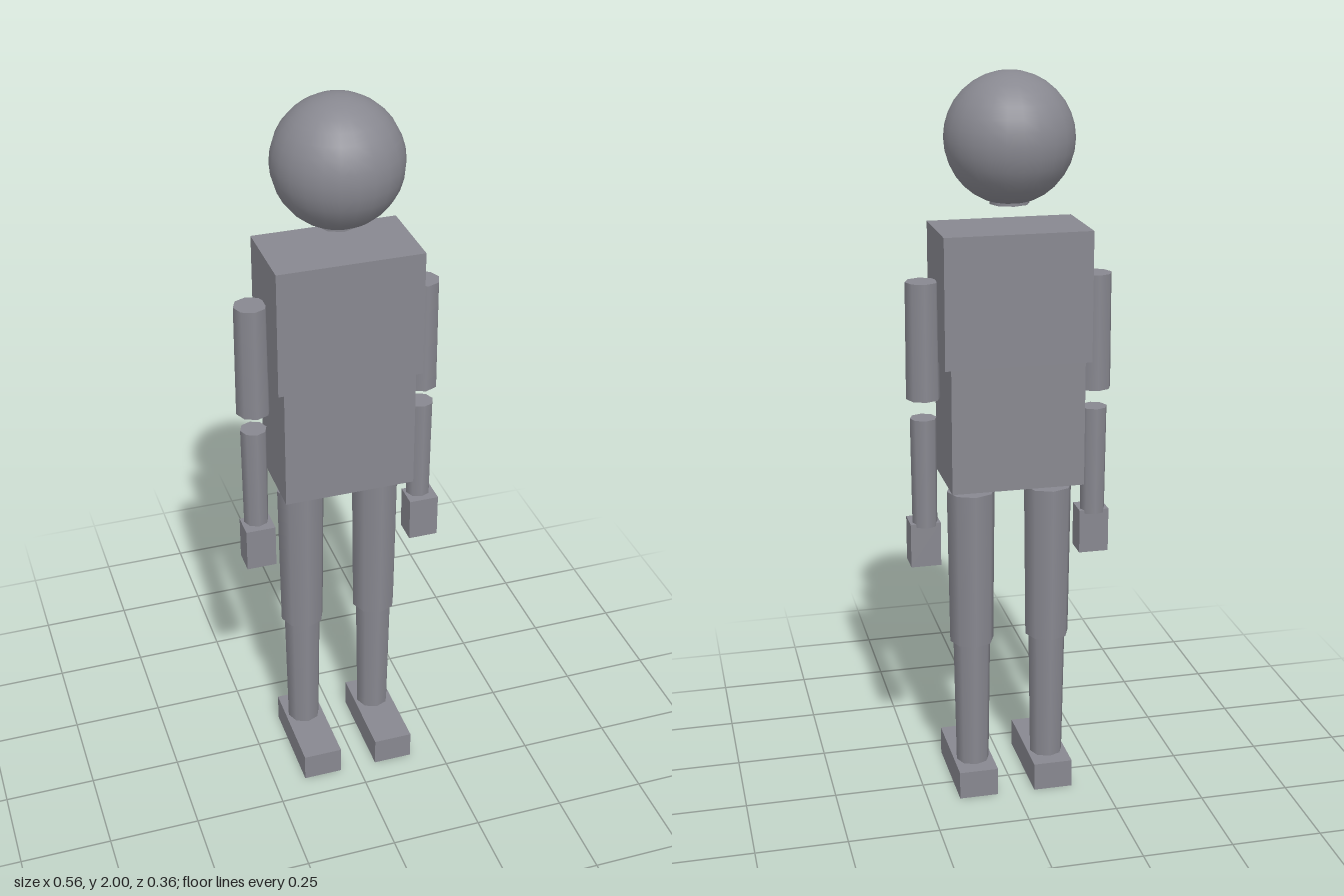
import * as THREE from 'three';

const AXIS_Z = -0.012; // depth of the body's centre line

export function createModel() {
  const figure = new THREE.Group();
  figure.name = 'figure';
  const material = new THREE.MeshStandardMaterial({ color: 0x888890 });

  const add = (parent, name, geometry, x, y, z) => {
    const mesh = new THREE.Mesh(geometry, material);
    mesh.name = name;
    mesh.position.set(x, y, z);
    parent.add(mesh);
  };
  // Box between two heights
  const box = (parent, name, width, depth, y0, y1, x, z) =>
    add(parent, name, new THREE.BoxGeometry(width, y1 - y0, depth), x, (y0 + y1) / 2, z);
  // Eight-sided tapered segment between two heights
  const segment = (parent, name, rTop, rBottom, y0, y1, x) =>
    add(parent, name, new THREE.CylinderGeometry(rTop, rBottom, y1 - y0, 8), x, (y0 + y1) / 2, AXIS_Z);

  // Head, neck and torso
  add(figure, 'head', new THREE.SphereGeometry(0.169, 24, 16), 0, 1.831, AXIS_Z);
  segment(figure, 'neck', 0.053, 0.053, 1.663, 1.76, 0);
  box(figure, 'chest', 0.391, 0.229, 1.257, 1.604, 0, AXIS_Z);
  box(figure, 'abdomen', 0.358, 0.219, 0.918, 1.257, 0, AXIS_Z);

  // Limbs, mirrored left and right
  for (const [side, s] of [['left', 1], ['right', -1]]) {
    const arm = new THREE.Group();
    arm.name = side + 'Arm';
    segment(arm, 'upperArm', 0.044, 0.046, 1.156, 1.47, s * 0.233);
    segment(arm, 'forearm', 0.036, 0.034, 0.8, 1.102, s * 0.234);
    box(arm, 'hand', 0.082, 0.07, 0.685, 0.808, s * 0.235, 0.005);

    const leg = new THREE.Group();
    leg.name = side + 'Leg';
    segment(leg, 'thigh', 0.066, 0.061, 0.448, 0.888, s * 0.107);
    segment(leg, 'shin', 0.052, 0.046, 0.07, 0.452, s * 0.107);
    box(leg, 'foot', 0.109, 0.278, 0, 0.08, s * 0.107, 0.041);

    figure.add(arm, leg);
  }
  return figure;
}
